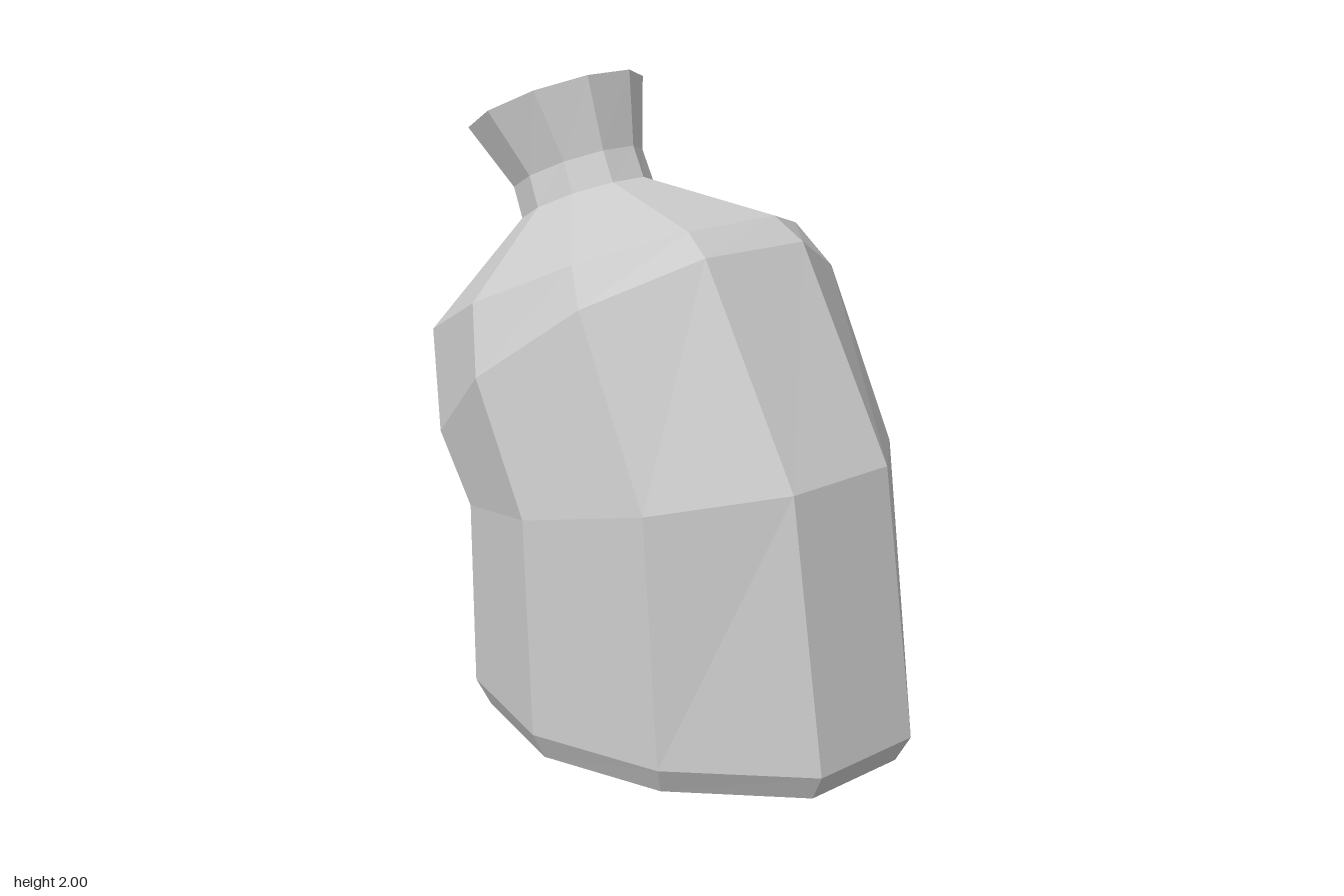
import * as THREE from 'three';

// Half of a slightly skewed ten-sided outline (the other half is its mirror through
// the centre), given for the wide base and for the rounder shoulder and neck.
const BASE = [[-0.19, 1], [0.42, 0.95], [0.875, 0.47], [1, -0.07], [0.75, -0.59]];
const TOP = [[-0.23, 1], [0.385, 0.945], [0.86, 0.54], [1, -0.11], [0.76, -0.7]];

// One tilted ring: centre, half width, half depth, slope of y along z, base-to-top blend
function ring([cx, cy, cz, rx, rz, slope, blend]) {
  const half = BASE.map(([x, z], i) => [
    THREE.MathUtils.lerp(x, TOP[i][0], blend) * rx,
    THREE.MathUtils.lerp(z, TOP[i][1], blend) * rz,
  ]);
  const full = [...half, ...half.map(([x, z]) => [-x, -z])];
  return full.map(([x, z]) => [cx + x, cy + slope * z, cz + z]);
}

// Flat-faceted skin through the rings, with optional end caps
function loft(name, specs, capBottom, capTop) {
  const rings = specs.map(ring);
  const pos = [];
  const tri = (...corners) => corners.forEach((p) => pos.push(...p));
  const n = rings[0].length;
  for (let i = 0; i < n; i++) {
    const j = (i + 1) % n;
    for (let r = 0; r < rings.length - 1; r++) {
      const lo = rings[r], hi = rings[r + 1];
      tri(lo[i], lo[j], hi[j]);
      tri(lo[i], hi[j], hi[i]);
    }
    if (capBottom) tri(specs[0].slice(0, 3), rings[0][j], rings[0][i]);
    if (capTop) tri(specs.at(-1).slice(0, 3), rings.at(-1)[i], rings.at(-1)[j]);
  }
  const geometry = new THREE.BufferGeometry();
  geometry.setAttribute('position', new THREE.Float32BufferAttribute(pos, 3));
  geometry.computeVertexNormals();
  const mesh = new THREE.Mesh(
    geometry,
    new THREE.MeshStandardMaterial({ color: 0xcccccc, flatShading: true })
  );
  mesh.name = name;
  return mesh;
}

export function createModel() {
  const group = new THREE.Group();
  group.name = 'sack';

  // Where the tie cinches the cloth, shared by body and neck
  const cinch = [-0.035, 1.575, -0.42, 0.205, 0.2, 0.52, 1];

  // Slumped body: bevelled base, waist, bent back, shoulder
  group.add(loft('sackBody', [
    [0.01, 0, 0.04, 0.595, 0.76, 0, 0],
    [0.01, 0.09, 0.04, 0.64, 0.81, 0, 0],
    [0.005, 0.775, 0.01, 0.64, 0.71, 0.247, 0.4],
    [-0.01, 1.135, -0.2, 0.64, 0.54, 0.824, 1],
    [-0.02, 1.35, -0.3, 0.57, 0.55, 0.525, 1],
    cinch,
  ], true, false));

  // Flared gathered neck, closed at the mouth
  group.add(loft('sackNeck', [
    cinch,
    [-0.035, 1.665, -0.47, 0.2, 0.2, 0.52, 1],
    [-0.045, 1.86, -0.575, 0.275, 0.265, 0.53, 1],
  ], false, true));

  return group;
}
